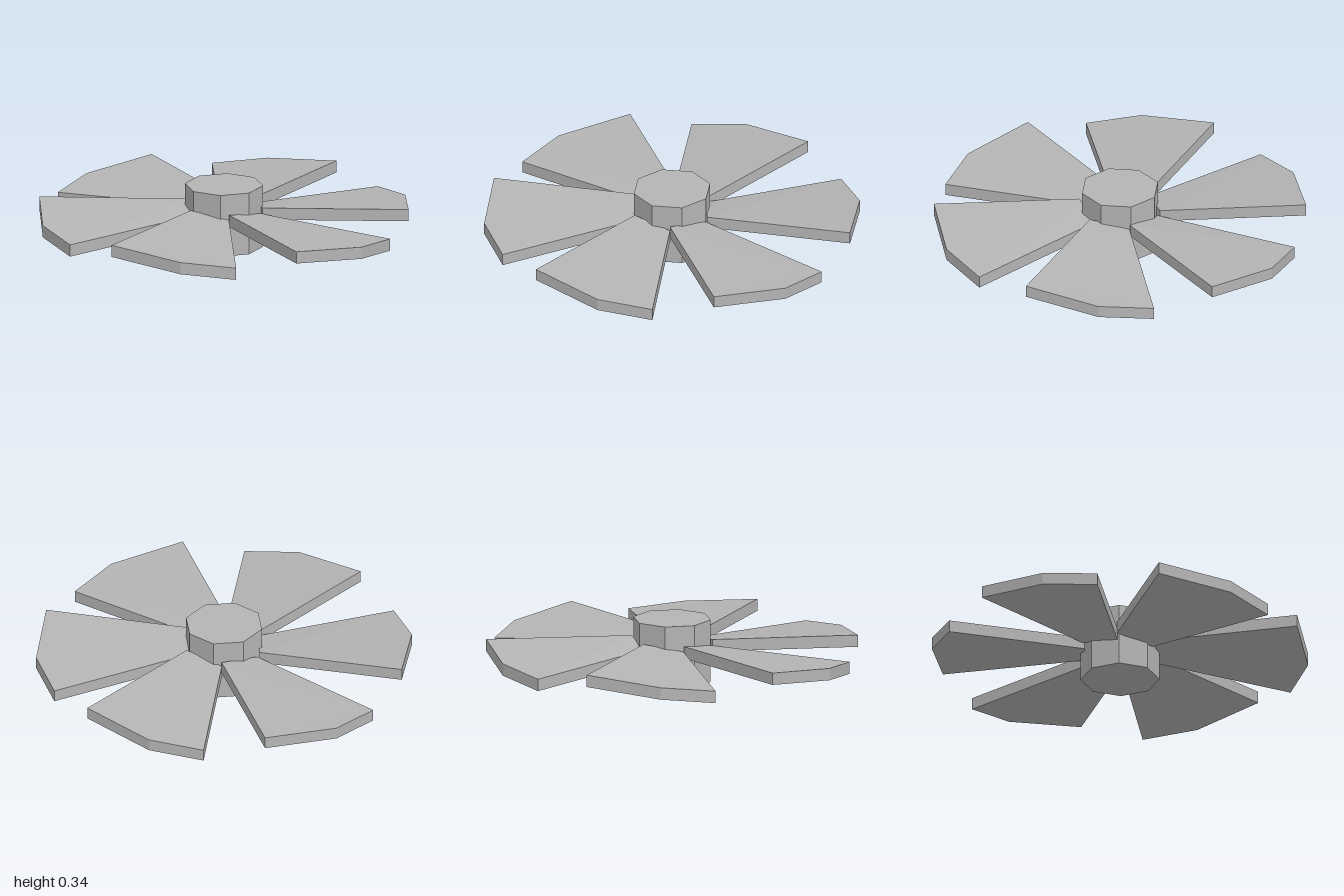
import * as THREE from 'three';

const THICKNESS = 0.065;

// Outline of one blade [x, top height, z], counter-clockwise seen from above:
// raised root, raised tip, middle tip, lowered tip, lowered root
const OUTLINE = [
  [0.187, 0.235, 0.12],
  [0.95, 0.237, 0.285],
  [1.0, 0.197, -0.125],
  [0.9, 0.167, -0.405],
  [0.187, 0.203, -0.097],
];

function bladeGeometry() {
  const n = OUTLINE.length;
  const top = OUTLINE.map(([x, y, z]) => [x, y, z]);
  const bottom = OUTLINE.map(([x, y, z]) => [x, y - THICKNESS, z]);
  const positions = [];
  const tri = (a, b, c) => positions.push(...a, ...b, ...c);

  // Twisted upper and lower faces
  for (const [a, b, c] of [[0, 1, 3], [0, 3, 4], [1, 2, 3]]) {
    tri(top[a], top[b], top[c]);
    tri(bottom[a], bottom[c], bottom[b]);
  }
  // Rim all round
  for (let i = 0; i < n; i++) {
    const j = (i + 1) % n;
    tri(bottom[i], bottom[j], top[j]);
    tri(bottom[i], top[j], top[i]);
  }
  const geometry = new THREE.BufferGeometry();
  geometry.setAttribute('position', new THREE.Float32BufferAttribute(positions, 3));
  geometry.computeVertexNormals();
  return geometry;
}

export function createModel() {
  const group = new THREE.Group();
  group.name = 'fan';
  const grey = new THREE.MeshStandardMaterial({ color: 0xb4b4b4, flatShading: true });
  grey.name = 'grey';

  // Eight-sided hub
  const hub = new THREE.Mesh(new THREE.CylinderGeometry(0.21, 0.21, 0.34, 8), grey);
  hub.name = 'hub';
  hub.position.y = 0.17;
  group.add(hub);

  // Six pitched blades
  const geometry = bladeGeometry();
  for (let i = 0; i < 6; i++) {
    const blade = new THREE.Mesh(geometry, grey);
    blade.name = `blade${i + 1}`;
    blade.rotation.y = (i * Math.PI) / 3;
    group.add(blade);
  }
  return group;
}
